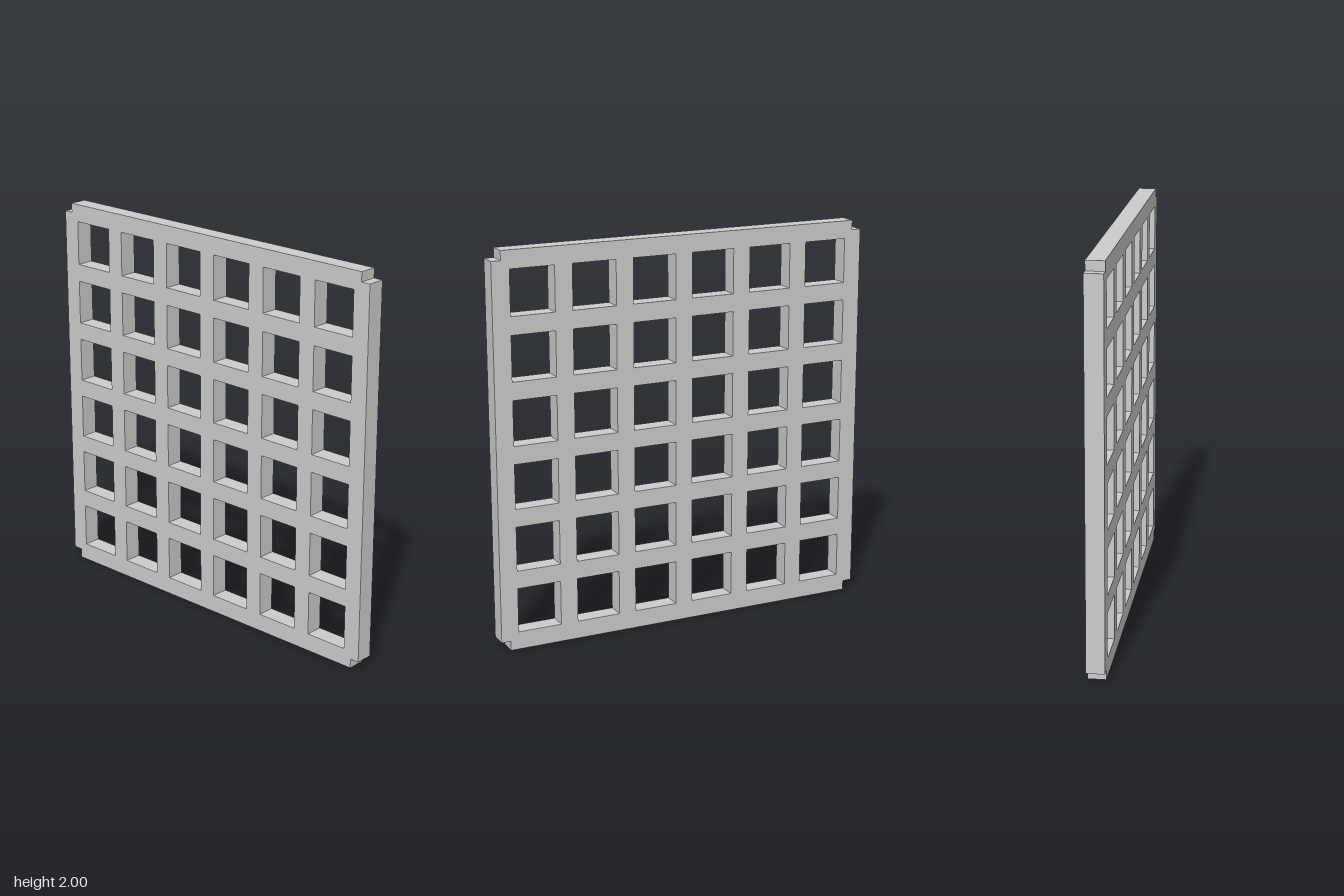
import * as THREE from 'three';

const SIZE = 2;
const COUNT = 6;          // openings per side
const BAR = 1 / 11;       // bar width and panel thickness
const HOLE = 2.5 / 11;    // opening width
const NOTCH = 0.048;      // square cut at each corner

// Square outline with a small step cut out of every corner
function notchedSquare() {
  const h = SIZE / 2, n = h - NOTCH;
  return new THREE.Shape([
    [-n, -h], [n, -h], [n, -n], [h, -n], [h, n], [n, n],
    [n, h], [-n, h], [-n, n], [-h, n], [-h, -n], [-n, -n],
  ].map(([x, y]) => new THREE.Vector2(x, y)));
}

function squareHole(x, y, s) {
  return new THREE.Path([[x, y], [x, y + s], [x + s, y + s], [x + s, y]]
    .map(([px, py]) => new THREE.Vector2(px, py)));
}

export function createModel() {
  const group = new THREE.Group();
  group.name = 'latticePanel';

  // Regular grid of square openings
  const shape = notchedSquare();
  const start = -SIZE / 2 + BAR, pitch = BAR + HOLE;
  for (let i = 0; i < COUNT; i++) {
    for (let j = 0; j < COUNT; j++) {
      shape.holes.push(squareHole(start + i * pitch, start + j * pitch, HOLE));
    }
  }

  const geometry = new THREE.ExtrudeGeometry(shape, { depth: BAR, bevelEnabled: false });
  geometry.translate(0, SIZE / 2, -BAR / 2);

  const lattice = new THREE.Mesh(geometry,
    new THREE.MeshStandardMaterial({ color: 0xcccccc, flatShading: true }));
  lattice.name = 'lattice';
  group.add(lattice);
  return group;
}
